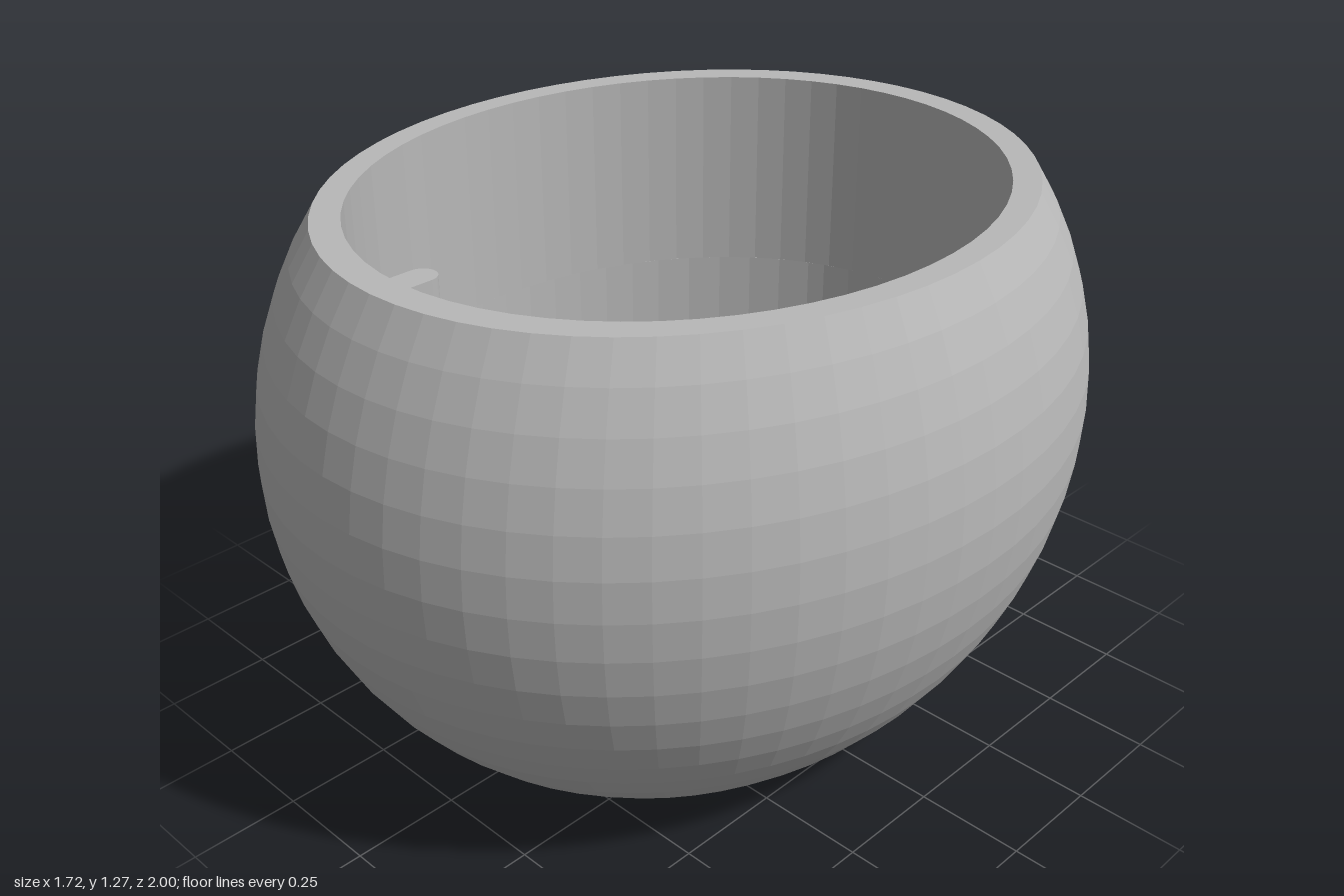
import * as THREE from 'three';

const RX = 0.86;          // width to depth ratio of every oval
const FLOOR = 0.42;       // main inner floor height
const BASE = 0.17;        // pocket floor height
const LEDGE = 0.78;       // top of the wall recesses
const R_IN = 0.767, R_CUT = 0.85;
const HOLE_Z = -0.01;
const SEG = 64;
const rad = THREE.MathUtils.degToRad;

export function createModel() {
  const group = new THREE.Group();
  const grey = new THREE.MeshStandardMaterial({ color: 0xb8b8b8, side: THREE.DoubleSide });
  grey.name = 'grey';

  // Adds a faceted mesh
  function add(name, geo) {
    const flat = geo.index ? geo.toNonIndexed() : geo;
    flat.computeVertexNormals();
    const mesh = new THREE.Mesh(flat, grey);
    mesh.name = name;
    group.add(mesh);
    return mesh;
  }

  // Oval lathe between two angles in degrees, measured from the front
  function oval(points, from = 0, to = 360) {
    const n = Math.max(2, Math.round(SEG * (to - from) / 360));
    return new THREE.LatheGeometry(points.map(p => new THREE.Vector2(p[0], p[1])), n, rad(from), rad(to - from)).scale(RX, 1, 1);
  }

  const rect = (Cls, x, z0, z1) => new Cls([[-x, -z0], [x, -z0], [x, -z1], [-x, -z1]].map(p => new THREE.Vector2(p[0], p[1])));
  const flatten = (shape, y) => new THREE.ShapeGeometry(shape, SEG).rotateX(-Math.PI / 2).translate(0, y, 0);

  // Outer shell: recessed foot, rounded body, flat rim and upper inner wall
  const profile = [[0.56, 0.12]];
  for (let i = 0; i <= 16; i++) {
    const a = rad(-56.26 + (89.6 * i) / 16);
    profile.push([Math.cos(a), Math.max(0, 0.765 + 0.92 * Math.sin(a))]);
  }
  profile[1][1] = 0;
  profile[profile.length - 1][1] = 1.27;
  profile.push([R_IN, 1.27], [R_IN, LEDGE]);
  add('shell', oval(profile));

  // Underside of the foot with its oval opening
  const foot = new THREE.Shape().absellipse(0, 0, 0.56 * RX, 0.56, 0, Math.PI * 2);
  const opening = () => new THREE.Path().absellipse(0, -HOLE_Z, 0.2, 0.23, 0, Math.PI * 2, true);
  foot.holes.push(opening());
  const under = flatten(foot, 0).rotateZ(Math.PI).translate(0, 0.12, 0);
  add('footUnderside', under);
  add('openingWall', oval([[0.233, BASE], [0.233, 0.12]]).translate(0, 0, HOLE_Z));

  // Lower inner wall, alternating plain stretches and recesses
  const cuts = [-46.6, 46.6, 120, 162, 198, 240, 313.4];
  for (let i = 0; i < cuts.length - 1; i++) {
    const recess = i % 2 === 0;
    const path = recess
      ? [[R_IN, LEDGE], [R_CUT, LEDGE], [R_CUT, FLOOR]]
      : [[R_IN, LEDGE], [R_IN, FLOOR]];
    add(recess ? 'wallRecess' : 'lowerWall', oval(path, cuts[i], cuts[i + 1]));
    // upright side of each recess
    const jamb = new THREE.PlaneGeometry(R_CUT - R_IN, LEDGE - FLOOR)
      .translate((R_CUT + R_IN) / 2, (LEDGE + FLOOR) / 2, 0)
      .rotateY(rad(cuts[i] - 90)).scale(RX, 1, 1);
    add('recessSide', jamb);
  }

  // Main floor with the pocket cut out
  const X = 0.24, Z0 = -0.285, Z1 = 0.27, Z2 = 0.48, Z3 = 0.61, STEP = 0.29;
  const floor = new THREE.Shape().absellipse(0, 0, R_CUT * RX, R_CUT, 0, Math.PI * 2);
  floor.holes.push(rect(THREE.Path, X, Z0, Z3));
  add('innerFloor', flatten(floor, FLOOR));

  // Pocket: floor with opening, step, ramp and side walls
  const pocketFloor = rect(THREE.Shape, X, Z0, Z1);
  pocketFloor.holes.push(opening());
  add('pocketFloor', flatten(pocketFloor, BASE));
  const strip = (name, za, ya, zb, yb) => {
    const g = new THREE.PlaneGeometry(2 * X, Math.hypot(zb - za, yb - ya));
    g.rotateX(-Math.PI / 2).rotateX(-Math.atan2(yb - ya, zb - za));
    add(name, g.translate(0, (ya + yb) / 2, (za + zb) / 2));
  };
  strip('pocketBack', Z0, FLOOR, Z0, BASE);
  strip('pocketRiser', Z1, BASE, Z1, STEP);
  strip('pocketStep', Z1, STEP, Z2, STEP);
  strip('pocketRamp', Z2, STEP, Z3, FLOOR);
  const side = new THREE.Shape([[Z0, FLOOR], [Z0, BASE], [Z1, BASE], [Z1, STEP], [Z2, STEP], [Z3, FLOOR]]
    .map(p => new THREE.Vector2(-p[0], p[1])));
  add('pocketRightSide', new THREE.ShapeGeometry(side).rotateY(Math.PI / 2).translate(-X, 0, 0));
  const left = new THREE.Shape(side.getPoints().map(p => new THREE.Vector2(-p.x, p.y)));
  add('pocketLeftSide', new THREE.ShapeGeometry(left).rotateY(-Math.PI / 2).translate(X, 0, 0));

  // Round-nosed locating rib on the front inner wall
  const rib = new THREE.Shape();
  rib.moveTo(-0.032, -0.775);
  rib.lineTo(0.032, -0.775);
  rib.lineTo(0.032, -0.715);
  rib.absarc(0, -0.715, 0.032, 0, Math.PI, false);
  rib.closePath();
  add('locatingRib', new THREE.ExtrudeGeometry(rib, { depth: 1.27 - LEDGE, bevelEnabled: false, curveSegments: 10 })
    .rotateX(-Math.PI / 2).translate(0, LEDGE, 0));

  return group;
}
